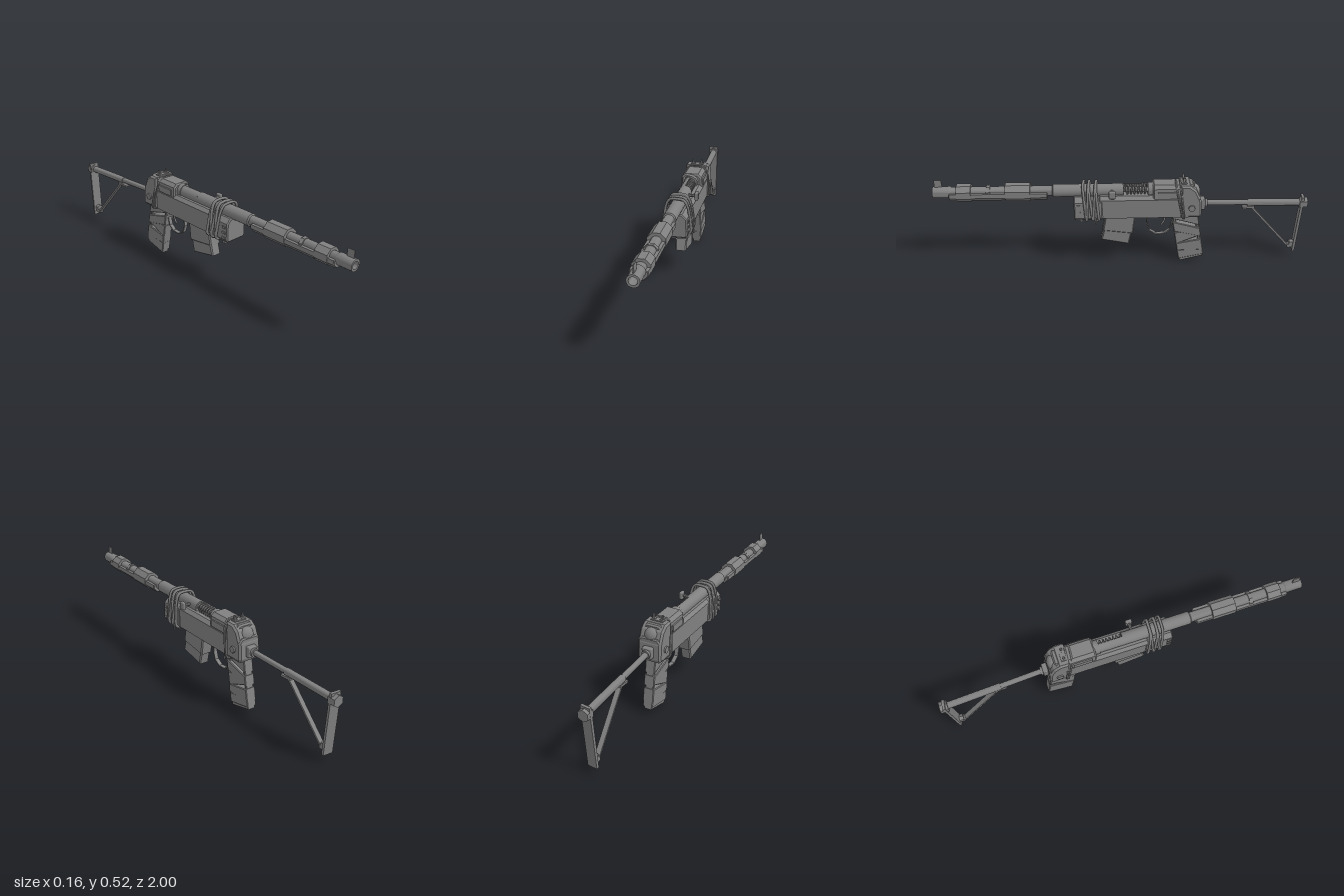
import * as THREE from 'three';
import { RoundedBoxGeometry } from 'three/addons/geometries/RoundedBoxGeometry.js';
import { toCreasedNormals } from 'three/addons/utils/BufferGeometryUtils.js';

const V = (x, y, z) => new THREE.Vector3(x, y, z);

export function createModel() {
  const root = new THREE.Group();
  root.name = 'improvisedRifle';
  const grey = new THREE.MeshStandardMaterial({ color: 0x808080, side: THREE.DoubleSide });
  grey.name = 'plain grey';
  const CX = -0.004, BY = 0.445; // centre line and barrel height

  const add = (name, geo, x = 0, y = 0, z = 0) => {
    const m = new THREE.Mesh(geo, grey);
    m.name = name;
    m.position.set(x, y, z);
    root.add(m);
    return m;
  };
  const shapeOf = (pts) => new THREE.Shape(pts.map(([a, b]) => new THREE.Vector2(a, b)));
  const extrude = (shape, depth, bevel) => new THREE.ExtrudeGeometry(shape, {
    depth: depth - 2 * bevel, bevelEnabled: bevel > 0, bevelSize: bevel,
    bevelThickness: bevel, bevelOffset: -bevel, bevelSegments: 1, curveSegments: 6,
  }).translate(0, 0, bevel);
  // Front outline (x, y) drawn out along z
  const prism = (name, pts, z0, z1, bevel = 0) =>
    add(name, extrude(shapeOf(pts), z1 - z0, bevel), 0, 0, z0);
  // Side outline (z, y) drawn out along x
  const slab = (name, pts, width, bevel = 0, x = CX, hole = null) => {
    const s = shapeOf(pts);
    if (hole) s.holes.push(shapeOf(hole));
    return add(name, extrude(s, width, bevel).translate(0, 0, -width / 2).rotateY(-Math.PI / 2), x);
  };
  const box = (name, w, h, d, x, y, z) => add(name, new THREE.BoxGeometry(w, h, d), x, y, z);
  const rod = (name, a, b, r, sides = 12, r2 = r) => {
    const m = add(name, toCreasedNormals(new THREE.CylinderGeometry(r2, r, a.distanceTo(b), sides), 0.7));
    m.position.copy(a).add(b).multiplyScalar(0.5);
    m.quaternion.setFromUnitVectors(V(0, 1, 0), b.clone().sub(a).normalize());
    return m;
  };
  // Flat bar between two points, w across x
  const strip = (name, a, b, w, t) => {
    const m = add(name, new THREE.BoxGeometry(w, t, a.distanceTo(b)));
    m.position.copy(a).add(b).multiplyScalar(0.5);
    m.lookAt(b);
    return m;
  };
  const tube = (name, pts, r, closed = false, n = 48) => add(name,
    new THREE.TubeGeometry(new THREE.CatmullRomCurve3(pts, closed, 'catmullrom', 0.4), n, r, 6, closed));

  // Barrel with open muzzle
  const profile = [[0, 0], [0.034, 0], [0.034, 0.37], [0.027, 0.375], [0.027, 0.905], [0.031, 0.91],
    [0.031, 1], [0.02, 1], [0.02, 0.93], [0, 0.93]].map(([r, z]) => new THREE.Vector2(r, z));
  add('barrel', toCreasedNormals(new THREE.LatheGeometry(profile, 20).rotateX(Math.PI / 2), 0.7), CX, BY);
  slab('frontSight', [[0.95, 0.47], [0.99, 0.47], [0.99, 0.515], [0.952, 0.515]], 0.005);

  // Lower handguard and the bands that hold it
  prism('handguard', [[-0.046, 0.448], [-0.046, 0.425], [-0.024, 0.402], [0.016, 0.402],
    [0.038, 0.425], [0.038, 0.448]], 0.4, 0.915, 0.004);
  [[0.49, 0.62, 0.049], [0.8, 0.875, 0.047], [0.7, 0.72, 0.037]].forEach(([a, b, r]) => {
    rod('handguardBand', V(CX, BY - 0.004, a), V(CX, BY - 0.004, b), r, 8).rotateY(Math.PI / 8);
  });

  // Receiver: lower body, front block and rear cover
  prism('receiverBody', [[-0.062, 0.303], [0.056, 0.303], [0.058, 0.41], [0.04, 0.428],
    [-0.048, 0.428], [-0.064, 0.41]], -0.41, 0.13, 0.006);
  prism('frontBlock', [[-0.068, 0.31], [-0.058, 0.296], [0.052, 0.296], [0.062, 0.31],
    [0.06, 0.4], [0.035, 0.425], [-0.043, 0.425], [-0.066, 0.4]], 0.11, 0.263, 0.006);
  [0.32, 0.35, 0.38].forEach((y) => [-1, 1].forEach((s) =>
    box('blockPeg', 0.008, 0.012, 0.022, CX + s * 0.065, y, 0.24)));
  [0.225, 0.14].forEach((z) => box('blockFoot', 0.1, 0.022, 0.016, CX, 0.29, z));
  prism('rearCover', [[-0.062, 0.4], [0.056, 0.4], [0.05, 0.468], [0.032, 0.486],
    [-0.04, 0.486], [-0.058, 0.468]], -0.375, -0.155, 0.008);
  slab('rearBlock', [[-0.3, 0.302], [-0.41, 0.302], [-0.418, 0.32], [-0.412, 0.4],
    [-0.385, 0.462], [-0.35, 0.488], [-0.3, 0.488]], 0.13, 0.01);
  const dome = add('rearDome', new THREE.SphereGeometry(0.042, 16, 10), CX, 0.432, -0.377);
  dome.scale.z = 0.8;
  [-1, 1].forEach((s) => {
    rod('sideBolt', V(CX + s * 0.06, 0.36, -0.362), V(CX + s * 0.073, 0.36, -0.362), 0.018, 10);
    box('coverPlate', 0.008, 0.035, 0.1, CX + s * 0.059, 0.435, -0.23);
  });

  // Exposed recoil spring in a half shell
  add('springShell', new THREE.CylinderGeometry(0.034, 0.034, 0.16, 12, 1, true, Math.PI, Math.PI)
    .rotateX(Math.PI / 2), CX, BY, -0.08);
  rod('springRod', V(CX, BY, 0), V(CX, BY, -0.16), 0.014);
  const coil = [];
  for (let i = 0; i <= 64; i++) {
    const a = (i / 8) * Math.PI * 2;
    coil.push(V(CX + 0.026 * Math.cos(a), BY + 0.026 * Math.sin(a), -0.005 - i * 0.0023));
  }
  tube('recoilSpring', coil, 0.005, false, 160);
  rod('springCollar', V(CX, BY, -0.13), V(CX, BY, -0.16), 0.038, 14);

  // Bolt handle
  rod('boltHandle', V(0.01, 0.45, 0.06), V(0.065, 0.45, 0.06), 0.009, 8);
  add('boltKnob', new RoundedBoxGeometry(0.02, 0.042, 0.036, 2, 0.006), 0.07, 0.45, 0.06);

  // Rear sight with two prongs
  box('rearSightBase', 0.07, 0.01, 0.03, CX, 0.489, -0.32);
  [-1, 1].forEach((s) => prism('rearSightProng', [[-0.01, 0.485], [0.006, 0.485],
    [0.006, 0.519], [0, 0.519], [-0.003, 0.5], [-0.01, 0.496]].map(([x, y]) => [CX + s * (x + 0.022), y]),
  -0.325, -0.314));

  // Wire wraps round the front block and the rear cover
  const outline = [[-0.066, 0.298], [-0.073, 0.36], [-0.062, 0.44], [-0.037, 0.484],
    [0.032, 0.484], [0.056, 0.44], [0.067, 0.36], [0.06, 0.298]];
  const wrap = (name, z, slope, r) => tube(name,
    outline.map(([x, y]) => V(x, y, z + slope * (y - 0.39) + x * 0.06)), r, true, 64);
  [[0.135, 0.1], [0.152, -0.06], [0.17, 0.12], [0.187, -0.04], [0.202, 0.1]].forEach(([z, s]) =>
    wrap('frontWire', z, s, 0.0075));
  wrap('rearWire', -0.3, 0.22, 0.005);
  wrap('rearWire', -0.315, 0.14, 0.005);
  tube('looseWireEnd', [V(0.062, 0.33, 0.16), V(0.07, 0.305, 0.15), V(0.072, 0.278, 0.145)], 0.005, false, 8);

  // Magazine: well and stepped lower part
  slab('magazineWell', [[0.095, 0.31], [0.112, 0.212], [-0.052, 0.19], [-0.066, 0.31]], 0.07, 0.006);
  slab('magazine', [[0.104, 0.225], [0.122, 0.153], [-0.03, 0.122], [-0.048, 0.21]], 0.06, 0.006);

  // Trigger and guard
  const guard = [[-0.135, 0.305], [-0.128, 0.24], [-0.142, 0.195], [-0.18, 0.172], [-0.225, 0.175],
    [-0.255, 0.2], [-0.266, 0.245]];
  for (let i = 0; i < guard.length - 1; i++) {
    strip('triggerGuard', V(CX, guard[i][1], guard[i][0]), V(CX, guard[i + 1][1], guard[i + 1][0]), 0.022, 0.006);
  }
  tube('trigger', [V(CX, 0.305, -0.225), V(CX, 0.26, -0.225), V(CX, 0.225, -0.208)], 0.006, false, 10);

  // Grip frame bound with tape
  const front = (t) => [-0.262 - 0.05 * t, 0.305 - 0.302 * t];
  const back = (t) => [-0.398 - 0.045 * t, 0.305 - 0.27 * t];
  const mid = (a, b, k) => [a[0] + (b[0] - a[0]) * k, a[1] + (b[1] - a[1]) * k];
  slab('gripFrame', [front(0), back(0), back(1), front(1)], 0.046, 0.004, CX, [
    mid(front(0.1), back(0.1), 0.12), mid(front(0.1), back(0.1), 0.88),
    mid(front(0.9), back(0.9), 0.88), mid(front(0.9), back(0.9), 0.12)]);
  [[0, 0.1, 0, 0.26], [0.16, 0.36, 0.32, 0.52], [0.38, 0.62, 0.32, 0.5],
    [0.6, 0.76, 0.58, 0.84], [0.76, 0.94, 0.76, 0.95]].forEach(([a, b, c, d], i) =>
    slab('gripTape', [mid(front(a), back(c), -0.03), mid(front(a), back(c), 1.03),
      mid(front(b), back(d), 1.03), mid(front(b), back(d), -0.03)], 0.056 + (i % 2) * 0.004, 0.004));

  // Skeleton stock, leaning slightly to one side
  add('stockCollar', new RoundedBoxGeometry(0.055, 0.058, 0.03, 2, 0.006), CX, 0.358, -0.425);
  rod('stockCollarRing', V(-0.006, 0.358, -0.41), V(-0.006, 0.357, -0.452), 0.023);
  rod('stockTube', V(-0.006, 0.358, -0.42), V(-0.016, 0.35, -0.7), 0.015);
  rod('stockTube', V(-0.015, 0.35, -0.67), V(-0.025, 0.341, -0.98), 0.019);
  rod('stockNut', V(-0.025, 0.341, -0.957), V(-0.025, 0.341, -0.999), 0.031, 6);
  strip('buttPlate', V(-0.026, 0.378, -0.974), V(-0.028, 0.042, -0.956), 0.054, 0.014);
  strip('braceTab', V(-0.015, 0.322, -0.645), V(-0.016, 0.327, -0.71), 0.028, 0.012);
  strip('brace', V(-0.016, 0.326, -0.695), V(-0.027, 0.068, -0.925), 0.026, 0.01);
  strip('braceFoot', V(-0.027, 0.068, -0.92), V(-0.027, 0.075, -0.958), 0.032, 0.02);
  rod('braceNut', V(-0.027, 0.085, -0.93), V(-0.027, 0.085, -0.955), 0.02, 6);
  return root;
}
